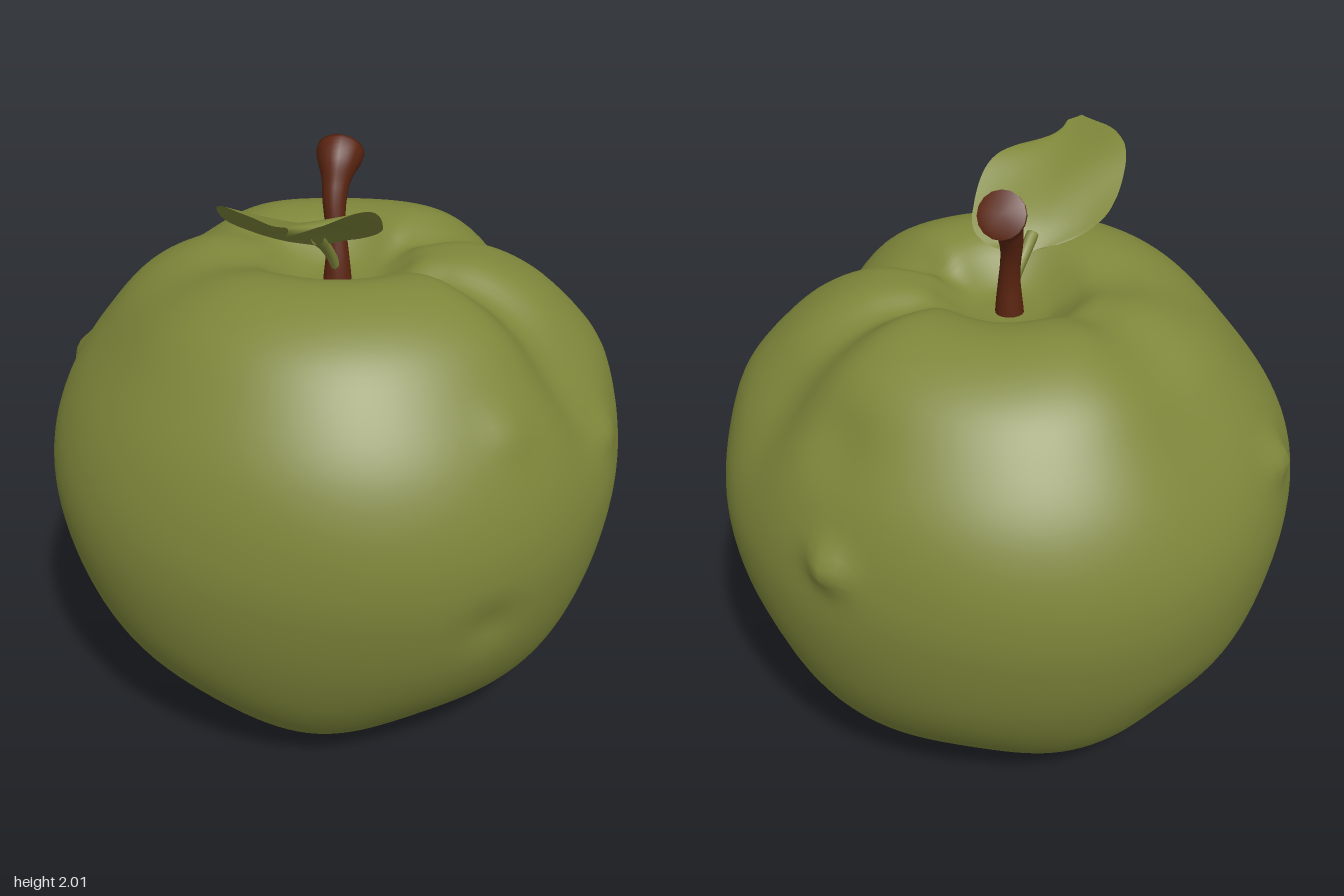
import * as THREE from 'three';
import { mergeVertices } from 'three/addons/utils/BufferGeometryUtils.js';

const skin = new THREE.MeshStandardMaterial({ color: 0x7e863a, side: THREE.DoubleSide });
skin.name = 'olive green';
const bark = new THREE.MeshStandardMaterial({ color: 0x5a2410 });
bark.name = 'brown';

const { smoothstep } = THREE.MathUtils;
const bell = (d, w) => Math.exp(-(d * d) / (w * w));
const angleGap = (a, b) => Math.atan2(Math.sin(a - b), Math.cos(a - b));

// Half profile of the fruit: radius, height
const PROFILE = [[0, 0.09], [0.1, 0.07], [0.2, 0.025], [0.32, 0.012], [0.45, 0.035], [0.62, 0.13],
  [0.8, 0.34], [0.92, 0.6], [0.98, 0.88], [0.97, 1.08], [0.91, 1.28], [0.81, 1.45], [0.68, 1.6],
  [0.53, 1.685], [0.4, 1.71], [0.29, 1.68], [0.21, 1.61], [0.14, 1.56], [0.07, 1.55], [0, 1.55]];
// Creases running out of the stem hollow: angle, width, depth
const CREASES = [[1.12, 0.2, 0.085], [2.1, 0.22, 0.075], [-2.2, 0.28, 0.045], [-1.3, 0.4, 0.03]];
// Warts and dents: x, y, z, width, height
const BUMPS = [[-0.92, 1.2, -0.24, 0.075, 0.05], [0.45, 1.09, -0.84, 0.07, 0.055],
  [0.92, 1.17, 0.31, 0.07, 0.035], [0.84, 1.38, -0.05, 0.2, 0.03], [0.5, 0.75, 0.84, 0.09, -0.022],
  [0.53, 1.36, 0.68, 0.08, 0.018], [0.8, 0.5, -0.45, 0.13, -0.03], [-0.6, 0.4, -0.6, 0.15, -0.02],
  [-0.78, 0.4, 0.25, 0.16, -0.03], [0.45, 1.42, -0.68, 0.12, -0.025]];

function makeFruit() {
  const curve = new THREE.CatmullRomCurve3(PROFILE.map(([r, y]) => new THREE.Vector3(r, y, 0)), false, 'centripetal');
  const points = curve.getSpacedPoints(90).map((p) => new THREE.Vector2(Math.max(0, p.x), p.y));
  points[0].x = points[points.length - 1].x = 0;
  let geo = new THREE.LatheGeometry(points, 128);
  const pos = geo.attributes.position;
  const v = new THREE.Vector3();
  const spot = new THREE.Vector3();
  for (let i = 0; i < pos.count; i++) {
    v.fromBufferAttribute(pos, i);
    const r = Math.hypot(v.x, v.z);
    const a = Math.atan2(v.x, v.z);
    const rim = smoothstep(r, 0.14, 0.4);
    const high = smoothstep(v.y, 0.95, 1.55) * rim;
    const low = (1 - smoothstep(v.y, 0.05, 0.6)) * rim;
    // Lower shoulders to the sides and back
    let drop = high * (0.045 * bell(angleGap(a, Math.PI / 2), 0.7)
      + 0.045 * bell(angleGap(a, -Math.PI / 2), 0.7) + 0.03 * bell(angleGap(a, Math.PI), 0.7));
    let shrink = 0;
    for (const [at, w, depth] of CREASES) {
      const c = bell(angleGap(a, at), w) * high;
      drop += depth * c * 0.9;
      shrink += depth * c * 0.5;
    }
    // Soft lobes underneath, and a slightly uneven girth
    v.y += low * 0.02 * (1 - Math.cos(5 * a + 0.6)) * 0.5 - drop;
    shrink += low * 0.02 * (1 - Math.cos(5 * a + 0.6));
    shrink += 0.008 * Math.sin(4 * a + 3 * v.y) * smoothstep(r, 0.5, 0.9);
    v.x *= 1 - shrink;
    v.z *= 1 - shrink;
    let push = 0;
    for (const [x, y, z, w, h] of BUMPS) push += h * bell(v.distanceTo(spot.set(x, y, z)), w);
    if (r > 0.3) {
      v.x += (v.x / r) * push;
      v.z += (v.z / r) * push;
    }
    pos.setXYZ(i, v.x, v.y, v.z);
  }
  // Weld the seam so the skin is smooth all round
  geo.deleteAttribute('uv');
  geo.deleteAttribute('normal');
  geo = mergeVertices(geo, 1e-4);
  geo.computeVertexNormals();
  return geo;
}

// Tube whose radius follows a rule along its length
function taperedTube(path, rows, sides, radiusAt) {
  const curve = new THREE.CatmullRomCurve3(path.map((p) => new THREE.Vector3(...p)));
  let geo = new THREE.TubeGeometry(curve, rows, 1, sides);
  const pos = geo.attributes.position;
  const v = new THREE.Vector3();
  for (let i = 0; i < pos.count; i++) {
    const t = Math.floor(i / (sides + 1)) / rows;
    const centre = curve.getPointAt(t);
    v.fromBufferAttribute(pos, i).sub(centre).multiplyScalar(radiusAt(t)).add(centre);
    pos.setXYZ(i, v.x, v.y, v.z);
  }
  geo.deleteAttribute('uv');
  geo.deleteAttribute('normal');
  geo = mergeVertices(geo, 1e-5);
  geo.computeVertexNormals();
  return geo;
}

// Curled blade: a grid bent along the midrib
function makeLeaf() {
  const rows = 28, cols = 16;
  const rib = new THREE.CatmullRomCurve3([[-0.04, 1.715, 0.1], [-0.08, 1.8, 0.2], [-0.11, 1.88, 0.34],
    [-0.14, 1.94, 0.48], [-0.16, 1.985, 0.645]].map((p) => new THREE.Vector3(...p)));
  const half = new THREE.SplineCurve([[0, 0.03], [0.05, 0.13], [0.18, 0.21], [0.4, 0.24], [0.62, 0.225],
    [0.8, 0.16], [0.92, 0.075], [1, 0.02]].map(([t, w]) => new THREE.Vector2(t, w)));
  const widths = half.getPoints(200);
  const geo = new THREE.PlaneGeometry(1, 1, cols, rows);
  const pos = geo.attributes.position;
  for (let i = 0; i < pos.count; i++) {
    const s = pos.getX(i) * 2;
    const t = THREE.MathUtils.clamp(0.5 - pos.getY(i), 0, 1);
    const p = rib.getPoint(t);
    const w = widths.find((q) => q.x >= t - 1e-6).y;
    const fold = 0.035 * Math.abs(s) ** 1.5 * Math.sin(Math.PI * t);
    const wave = 0.012 * Math.sin(9 * t + 2 * s) * s;
    pos.setXYZ(i, p.x + s * w + 0.03 * t * (1 - s * s), p.y + fold - 0.025 * s * t + wave, p.z - 0.02 * s);
  }
  geo.computeVertexNormals();
  return geo;
}

export function createModel() {
  const group = new THREE.Group();
  const add = (name, geometry, material) => {
    const mesh = new THREE.Mesh(geometry, material);
    mesh.name = name;
    group.add(mesh);
  };
  add('fruit', makeFruit(), skin);
  // Stem flares toward its blunt tip
  add('stem', taperedTube([[0, 1.5, 0.01], [0, 1.66, 0], [-0.01, 1.82, -0.035], [0, 1.92, -0.09], [0.01, 1.965, -0.155]],
    40, 16, (t) => (t > 0.99 ? 0 : 0.042 + 0.008 * Math.cos(t * 7) + 0.03 * smoothstep(t, 0.72, 0.97))), bark);
  add('leafStalk', taperedTube([[0, 1.6, 0.02], [-0.02, 1.67, 0.06], [-0.04, 1.72, 0.1], [-0.06, 1.765, 0.16]],
    12, 8, (t) => 0.016 + 0.006 * t), skin);
  add('leaf', makeLeaf(), skin);
  return group;
}
